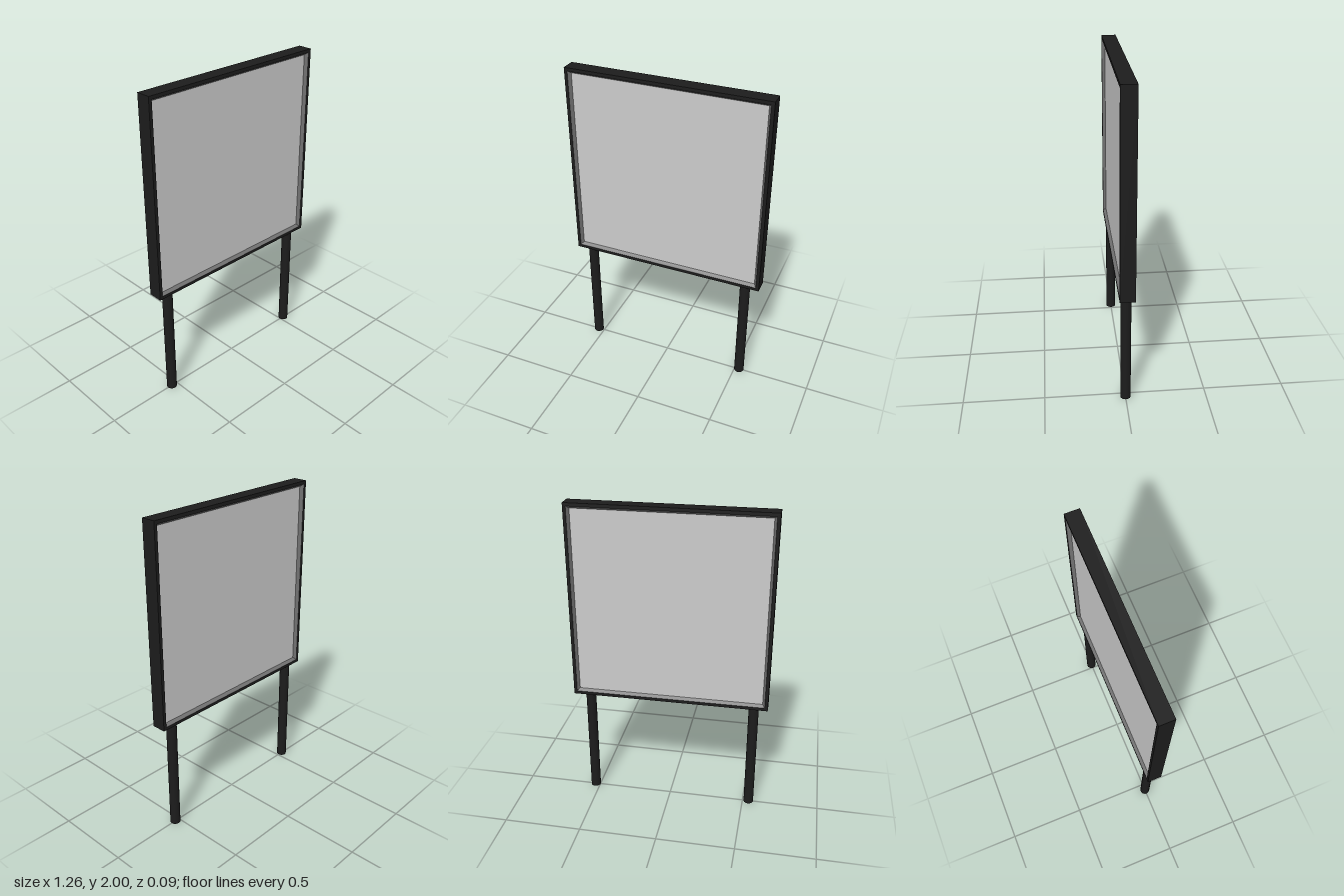
import * as THREE from 'three';

const SIZE = 1.26, DEPTH = 0.092, CENTER_Y = 2 - SIZE / 2;
const OPENING = 0.61, PANEL = 0.595, RECESS = 0.02; // half sizes and recess depth

function square(PathType, h) {
  return new PathType([
    new THREE.Vector2(-h, -h), new THREE.Vector2(h, -h),
    new THREE.Vector2(h, h), new THREE.Vector2(-h, h),
  ]);
}

export function createModel() {
  const group = new THREE.Group();
  const black = new THREE.MeshStandardMaterial({ color: 0x1c1c1c });
  const trimGrey = new THREE.MeshStandardMaterial({ color: 0x707070, side: THREE.DoubleSide, flatShading: true });
  const grey = new THREE.MeshStandardMaterial({ color: 0xcccccc });

  const add = (name, geometry, material, x, y, z) => {
    const mesh = new THREE.Mesh(geometry, material);
    mesh.name = name;
    mesh.position.set(x, y, z);
    group.add(mesh);
    return mesh;
  };

  // Square outer frame, open through the middle
  const outline = square(THREE.Shape, SIZE / 2);
  outline.holes.push(square(THREE.Path, OPENING));
  add('frame', new THREE.ExtrudeGeometry(outline, { depth: DEPTH, bevelEnabled: false }),
    black, 0, CENTER_Y, -DEPTH / 2);

  // Display board, recessed on both faces
  add('displayBoard', new THREE.BoxGeometry(PANEL * 2, PANEL * 2, DEPTH - RECESS * 2),
    grey, 0, CENTER_Y, 0);

  // Sloped trim between the frame edge and the board, front and back
  for (const side of [1, -1]) {
    const trim = new THREE.CylinderGeometry(OPENING * Math.SQRT2, PANEL * Math.SQRT2, RECESS, 4, 1, true);
    trim.rotateY(Math.PI / 4).rotateX(side * Math.PI / 2);
    add(side > 0 ? 'frontTrim' : 'backTrim', trim, trimGrey,
      0, CENTER_Y, side * (DEPTH - RECESS) / 2);
  }

  // Round posts
  const legHeight = 2 - SIZE + 0.005;
  for (const [name, x] of [['rightLeg', -0.54], ['leftLeg', 0.53]]) {
    add(name, new THREE.CylinderGeometry(0.032, 0.032, legHeight, 20), black, x, legHeight / 2, 0);
  }
  return group;
}
